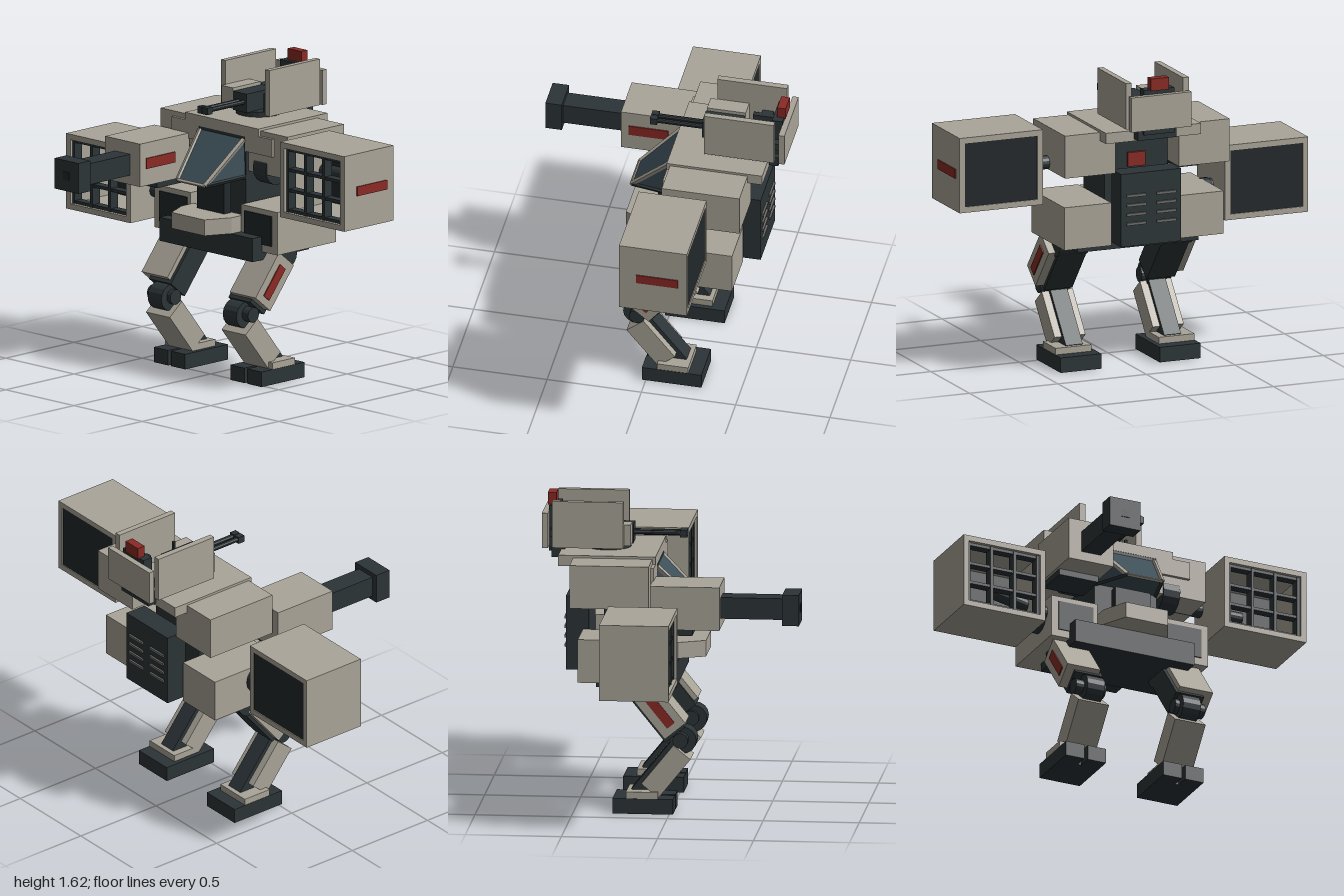
import * as THREE from 'three';
import { ConvexGeometry } from 'three/addons/geometries/ConvexGeometry.js';

const mat = (color) => new THREE.MeshStandardMaterial({ color, flatShading: true });
const GREY = mat(0xaaa599), DARK = mat(0x2c3437), BLACK = mat(0x22282b);
const RED = mat(0x8a2a25), GLASS = mat(0x3d4f58), SLAT = mat(0x6c6d69);
const V = (x, y, z) => new THREE.Vector3(x, y, z);

function add(parent, name, geometry, material) {
  const mesh = new THREE.Mesh(geometry, material);
  mesh.name = name;
  parent.add(mesh);
  return mesh;
}

// Box given by its extents on each axis
function box(parent, name, m, x0, x1, y0, y1, z0, z1) {
  const b = add(parent, name, new THREE.BoxGeometry(x1 - x0, y1 - y0, z1 - z0), m);
  b.position.set((x0 + x1) / 2, (y0 + y1) / 2, (z0 + z1) / 2);
  return b;
}

// Cylinder or square beam between two points
function rod(parent, name, m, a, b, r, sides = 16) {
  const d = b.clone().sub(a);
  const c = add(parent, name, new THREE.CylinderGeometry(r, r, d.length(), sides), m);
  c.position.copy(a).add(b).multiplyScalar(0.5);
  c.quaternion.setFromUnitVectors(V(0, 1, 0), d.normalize());
  return c;
}

// Box tilted about the x axis, placed by its centre
function tilted(parent, name, m, x0, x1, cy, cz, len, depth, angle) {
  const b = add(parent, name, new THREE.BoxGeometry(x1 - x0, len, depth), m);
  b.position.set((x0 + x1) / 2, cy, cz);
  b.rotation.x = angle;
}

// Open launcher box with a grid of tubes at the front
function launcher(name, x0, y0, z0) {
  const g = new THREE.Group(), w = 0.47, h = 0.4, d = 0.36, t = 0.03;
  g.name = name;
  g.position.set(x0, y0, z0);
  box(g, 'podFloor', GREY, 0, w, 0, t, 0, d);
  box(g, 'podRoof', GREY, 0, w, h - t, h, 0, d);
  box(g, 'podWall', GREY, 0, t, t, h - t, 0, d);
  box(g, 'podWall', GREY, w - t, w, t, h - t, 0, d);
  box(g, 'podBackPanel', BLACK, t, w - t, t, h - t, 0.005, 0.03);
  for (let i = 0; i < 4; i++) {
    const x = t + 0.008 + i * (w - 2 * t - 0.016) / 3, y = t + 0.008 + i * (h - 2 * t - 0.016) / 3;
    box(g, 'gridUpright', DARK, x - 0.008, x + 0.008, t, h - t, d - 0.07, d - 0.015);
    box(g, 'gridShelf', DARK, t, w - t, y - 0.008, y + 0.008, d - 0.07, d - 0.02);
  }
  return g;
}

// Reverse-jointed leg on the +x side
function leg() {
  const g = new THREE.Group();
  rod(g, 'hipJoint', DARK, V(0.21, 0.67, -0.18), V(0.38, 0.67, -0.18), 0.075);
  tilted(g, 'thighFrame', DARK, 0.21, 0.37, 0.545, -0.075, 0.33, 0.13, -0.68);
  tilted(g, 'thighArmour', GREY, 0.228, 0.418, 0.553, -0.053, 0.275, 0.138, -0.68);
  tilted(g, 'thighStripe', RED, 0.41, 0.424, 0.55, -0.048, 0.19, 0.05, -0.68);
  rod(g, 'kneeJoint', DARK, V(0.225, 0.38, 0.065), V(0.325, 0.38, 0.065), 0.07);
  rod(g, 'kneePin', DARK, V(0.2, 0.385, 0.055), V(0.37, 0.385, 0.055), 0.04);
  tilted(g, 'shinFrame', DARK, 0.23, 0.325, 0.23, -0.055, 0.36, 0.09, 0.68);
  tilted(g, 'shinArmour', GREY, 0.19, 0.365, 0.22, -0.02, 0.265, 0.115, 0.68);
  box(g, 'ankleGuard', GREY, 0.19, 0.393, 0.078, 0.115, -0.225, -0.06);
  box(g, 'foot', DARK, 0.165, 0.395, 0, 0.08, -0.295, -0.06);
  box(g, 'toe', DARK, 0.165, 0.27, 0, 0.08, -0.06, 0.02);
  box(g, 'toe', DARK, 0.29, 0.395, 0, 0.08, -0.06, 0.02);
  return g;
}

// Armour that repeats on both sides
function sideArmour() {
  const g = new THREE.Group();
  box(g, 'shoulderBlock', GREY, 0.18, 0.465, 1.095, 1.322, -0.512, -0.1);
  box(g, 'collarPlate', GREY, 0.17, 0.367, 1.2, 1.295, -0.16, -0.083);
  rod(g, 'shoulderJoint', DARK, V(0.22, 1.12, -0.18), V(0.315, 1.12, -0.18), 0.09);
  box(g, 'hipBlock', GREY, 0.185, 0.45, 0.7, 0.928, -0.47, -0.04);
  box(g, 'hipPanel', BLACK, 0.21, 0.41, 0.74, 0.9, -0.05, -0.034);
  return g;
}

function cockpit() {
  const g = new THREE.Group();
  g.name = 'cockpit';
  const corners = [];
  for (const s of [-1, 1]) {
    const top = V(s * 0.16, 1.262, -0.085), low = V(s * 0.1, 1.04, 0.14), rear = V(s * 0.17, 1.065, -0.085);
    corners.push(top, low, rear);
    rod(g, 'windowPillar', GREY, top, low, 0.014, 4);
    rod(g, 'lowerSill', DARK, rear, low, 0.012, 4);
  }
  add(g, 'canopy', new ConvexGeometry(corners), GLASS);
  rod(g, 'frontSill', GREY, corners[1], corners[4], 0.01, 4);
  box(g, 'controlBlock', BLACK, -0.1, 0.1, 0.86, 1.03, -0.05, 0.0);
  // Tapered nose deck
  const s = new THREE.Shape([[-0.12, -0.165], [0.12, -0.165], [0.185, -0.03], [0.185, 0.06], [-0.185, 0.06], [-0.185, -0.03]]
    .map(([x, y]) => new THREE.Vector2(x, y)));
  const nose = add(g, 'noseDeck', new THREE.ExtrudeGeometry(s, { depth: 0.085, bevelEnabled: false }), GREY);
  nose.rotation.x = -Math.PI / 2;
  nose.position.y = 0.783;
  return g;
}

function turret() {
  const g = new THREE.Group();
  g.name = 'turret';
  rod(g, 'turretRing', DARK, V(0, 1.33, -0.355), V(0, 1.362, -0.355), 0.12, 24);
  box(g, 'gunBody', DARK, -0.055, 0.045, 1.36, 1.46, -0.43, -0.22);
  box(g, 'ammoBox', GREY, -0.145, -0.06, 1.365, 1.475, -0.43, -0.225);
  for (const x of [-0.02, 0.018]) {
    rod(g, 'turretBarrel', DARK, V(x, 1.412, -0.24), V(x, 1.412, 0.04), 0.013, 10);
    box(g, 'barrelTip', DARK, x - 0.017, x + 0.017, 1.393, 1.43, 0.02, 0.058);
  }
  rod(g, 'lever', DARK, V(0.102, 1.35, -0.3), V(0.102, 1.46, -0.3), 0.01, 8);
  for (const [a, b] of [[-0.183, -0.15], [0.14, 0.172]]) {
    box(g, 'sideShield', GREY, a, b, 1.355, 1.6, -0.63, -0.26);
  }
  for (const x of [-0.112, 0.105]) {
    box(g, 'shieldArm', DARK, x - 0.014, x + 0.014, 1.4, 1.44, -0.63, -0.46);
    box(g, 'shieldBracket', DARK, Math.min(x, x * 1.5), Math.max(x, x * 1.5), 1.4, 1.44, -0.56, -0.5);
  }
  box(g, 'crossArm', DARK, -0.12, 0.12, 1.4, 1.44, -0.65, -0.6);
  box(g, 'mast', DARK, -0.09, 0.08, 1.32, 1.56, -0.655, -0.6);
  box(g, 'mastFoot', DARK, -0.11, 0.11, 1.29, 1.345, -0.64, -0.57);
  box(g, 'rearShield', GREY, -0.175, 0.166, 1.35, 1.535, -0.685, -0.653);
  box(g, 'beacon', RED, -0.055, 0.045, 1.555, 1.62, -0.665, -0.62);
  return g;
}

function armCannon() {
  const g = new THREE.Group();
  g.name = 'armCannon';
  box(g, 'cannonHousing', GREY, -0.5, -0.243, 1.0, 1.228, -0.09, 0.272);
  box(g, 'cannonStripe', RED, -0.25, -0.237, 1.09, 1.146, 0.02, 0.23);
  box(g, 'cannonCradle', DARK, -0.485, -0.26, 0.967, 1.0, -0.06, 0.13);
  box(g, 'cannonBarrel', DARK, -0.428, -0.316, 1.05, 1.162, 0.27, 0.6);
  box(g, 'cannonMuzzle', DARK, -0.46, -0.285, 1.025, 1.187, 0.595, 0.682);
  box(g, 'muzzleBore', BLACK, -0.395, -0.35, 1.085, 1.128, 0.67, 0.686);
  return g;
}

function backpack() {
  const g = new THREE.Group();
  g.name = 'backpack';
  box(g, 'backpackCase', DARK, -0.17, 0.17, 0.71, 1.098, -0.56, -0.44);
  for (const x of [-0.085, 0.085]) for (let i = 0; i < 4; i++) {
    const y = 0.83 + i * 0.05;
    box(g, 'ventSlat', SLAT, x - 0.055, x + 0.055, y - 0.007, y + 0.007, -0.57, -0.555);
  }
  return g;
}

export function createModel() {
  const model = new THREE.Group();
  // Torso and pelvis
  box(model, 'torsoCore', DARK, -0.18, 0.175, 0.78, 1.285, -0.36, -0.085);
  box(model, 'backLight', RED, -0.05, 0.05, 1.085, 1.16, -0.376, -0.355);
  box(model, 'topDeck', GREY, -0.27, 0.268, 1.278, 1.335, -0.59, -0.083);
  box(model, 'pelvis', DARK, -0.345, 0.338, 0.657, 0.782, -0.385, 0.03);
  // Mirrored sides
  for (const [side, sx] of [['left', 1], ['right', -1]]) {
    for (const [part, build] of [['Leg', leg], ['Armour', sideArmour]]) {
      const g = build();
      g.name = side + part;
      g.scale.x = sx;
      model.add(g);
    }
  }
  model.add(cockpit(), turret(), armCannon(), backpack());
  // Launcher arms
  rod(model, 'leftArm', DARK, V(0.3, 1.13, -0.28), V(0.75, 1.13, -0.28), 0.036);
  rod(model, 'rightArm', DARK, V(-0.42, 0.85, -0.12), V(-0.77, 0.92, -0.12), 0.036);
  rod(model, 'rightArmPivot', DARK, V(-0.44, 0.85, -0.18), V(-0.488, 0.85, -0.18), 0.08);
  model.add(launcher('leftLauncher', 0.52, 0.925, -0.35), launcher('rightLauncher', -1, 0.723, -0.303));
  box(model, 'launcherStripe', RED, 0.985, 0.996, 1.1, 1.15, -0.302, -0.08);
  return model;
}
